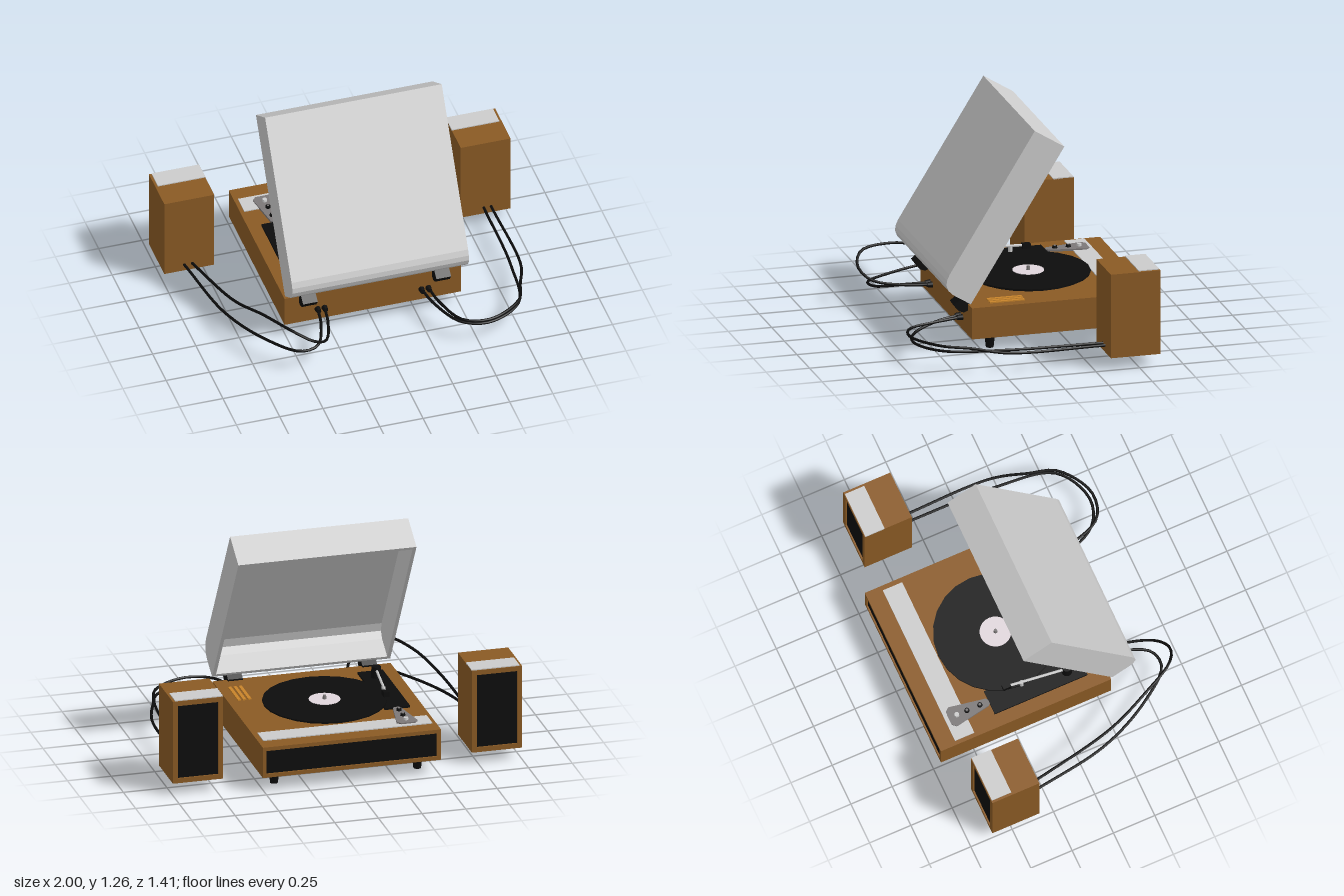
import * as THREE from 'three';

const mat = (color, extra = {}) => new THREE.MeshStandardMaterial({ color, ...extra });
const grey = mat(0xcccccc);
const wood = mat(0x8a5a24);
const black = mat(0x0c0c0c);
const steel = mat(0x7c7878);
const brass = mat(0xc8842a);
const paper = mat(0xe0d6dc);

function add(parent, name, geometry, material, x = 0, y = 0, z = 0) {
  const mesh = new THREE.Mesh(geometry, material);
  mesh.name = name;
  mesh.position.set(x, y, z);
  parent.add(mesh);
  return mesh;
}
const box = (w, h, d) => new THREE.BoxGeometry(w, h, d);
const cyl = (top, bottom, h, n = 16) => new THREE.CylinderGeometry(top, bottom, h, n);
const poly = (pts) => new THREE.Shape(pts.map(([x, y]) => new THREE.Vector2(x, y)));

// Extrudes a (z, y) side profile across the width, centred on x = 0
function sideExtrude(pts, width) {
  const g = new THREE.ExtrudeGeometry(poly(pts), { depth: width, bevelEnabled: false });
  return g.translate(0, 0, -width / 2).rotateY(-Math.PI / 2);
}

// Wooden box whose -z side is a frame around a recessed black grille
function cabinet(name, w, h, d, border) {
  const g = new THREE.Group();
  g.name = name;
  const recess = 0.018;
  add(g, 'woodBody', box(w, h, d - recess), wood, 0, 0, recess / 2);
  const rect = (a, b) => [[-a, -b], [a, -b], [a, b], [-a, b]];
  const frame = poly(rect(w / 2, h / 2));
  frame.holes.push(poly(rect(w / 2 - border, h / 2 - border)));
  add(g, 'grilleFrame', new THREE.ExtrudeGeometry(frame, { depth: recess, bevelEnabled: false }), wood, 0, 0, -d / 2);
  add(g, 'grille', box(w - 2 * border, h - 2 * border, 0.01), black, 0, 0, -d / 2 + recess - 0.004);
  return g;
}

function makeLid() {
  const g = new THREE.Group();
  g.name = 'lid';
  // Local u runs along the open rim from the hinge, v is the depth of the lid
  const toWorld = ([u, v]) => [0.327 - 0.5265 * u + 0.85 * v, 0.289 + 0.85 * u + 0.5265 * v];
  const outer = [[0, 0], [0, 0.124], [0.008, 0.155], [0.028, 0.182], [0.055, 0.195], [0.09, 0.2], [1.02, 0.2], [1.02, 0]];
  const inner = [[1.0, 0], [1.0, 0.18], [0.09, 0.18], [0.04, 0.165], [0.02, 0.124], [0.02, 0]];
  add(g, 'lidShell', sideExtrude([...outer, ...inner].map(toWorld), 0.98), grey);
  for (const s of [-1, 1]) add(g, 'lidSide', sideExtrude(outer.map(toWorld), 0.02), grey, s * 0.5);
  return g;
}

function makeTonearm() {
  const g = new THREE.Group();
  g.name = 'tonearm';
  add(g, 'armPlate', box(0.145, 0.012, 0.56), black, -0.362, 0.27, -0.07);
  add(g, 'armPivot', cyl(0.026, 0.03, 0.065), black, -0.37, 0.307, 0.115);
  const rod = new THREE.LineCurve3(new THREE.Vector3(-0.37, 0.318, 0.11), new THREE.Vector3(-0.33, 0.318, -0.22));
  add(g, 'armRod', new THREE.TubeGeometry(rod, 1, 0.008, 8), grey);
  add(g, 'armRest', cyl(0.012, 0.012, 0.045), grey, -0.339, 0.295, -0.145);
  add(g, 'headshell', box(0.032, 0.028, 0.046), black, -0.327, 0.316, -0.232);
  return g;
}

function makeDeck() {
  const g = new THREE.Group();
  g.name = 'deck';
  const base = cabinet('base', 1.02, 0.18, 1.03, 0.022);
  base.position.set(0, 0.175, -0.195);
  g.add(base);
  for (const x of [-0.41, 0.41]) {
    for (const z of [0.19, -0.58]) add(g, 'foot', cyl(0.032, 0.022, 0.087, 12), black, x, 0.0435, z);
    // Hinge block joining lid and base
    const hinge = [[0.345, 0.308], [0.297, 0.274], [0.297, 0.236], [0.342, 0.217], [0.372, 0.228], [0.4, 0.266]];
    add(g, 'hinge', sideExtrude(hinge, 0.085), black, Math.sign(x) * 0.385);
  }
  add(g, 'trimStrip', box(0.968, 0.01, 0.117), grey, -0.003, 0.266, -0.556);

  // Turntable and record
  add(g, 'platter', cyl(0.32, 0.32, 0.012, 24), black, 0, 0.271, -0.15);
  add(g, 'record', cyl(0.345, 0.345, 0.008, 24), black, 0, 0.281, -0.15);
  add(g, 'recordLabel', cyl(0.088, 0.088, 0.004, 24), paper, 0, 0.286, -0.15);
  add(g, 'spindle', cyl(0.009, 0.012, 0.026, 12), steel, 0, 0.296, -0.15);

  // Tapered control plate with three knobs
  const plate = poly([[-0.06, 0.57], [-0.04, 0.592], [0.04, 0.592], [0.06, 0.57], [0.022, 0.36], [0.012, 0.35], [-0.012, 0.35], [-0.022, 0.36]]);
  const plateGeo = new THREE.ExtrudeGeometry(plate, { depth: 0.012, bevelEnabled: false }).rotateX(-Math.PI / 2);
  add(g, 'controlPlate', plateGeo, steel, -0.355, 0.266, 0);
  [-0.545, -0.483, -0.405].forEach((z, i) => {
    add(g, 'knob', cyl(0.013, 0.015, 0.014, 12), i ? black : grey, -0.355, 0.284, z);
    if (i) add(g, 'knobCap', cyl(0.007, 0.007, 0.004, 12), steel, -0.355, 0.292, z);
  });

  // Brass slats beside the platter
  for (const x of [0.385, 0.415, 0.445]) add(g, 'brassSlat', box(0.018, 0.008, 0.2), brass, x, 0.268, 0.1);
  g.add(makeTonearm());
  return g;
}

function makeSpeaker(side) {
  const g = cabinet(side > 0 ? 'leftSpeaker' : 'rightSpeaker', 0.288, 0.485, 0.285, 0.028);
  add(g, 'speakerTrim', box(0.274, 0.01, 0.117), grey, -side * 0.007, 0.243, -0.08);
  g.position.set(side * 0.856, 0.3125, -0.4775);
  return g;
}

export function createModel() {
  const model = new THREE.Group();
  model.name = 'recordPlayer';
  model.add(makeDeck(), makeLid(), makeSpeaker(1), makeSpeaker(-1));

  // Speaker cables, from speaker to deck socket
  const cables = [
    [[0.845, 0.11, -0.335], [0.83, 0.115, 0.22], [0.765, 0.12, 0.56], [0.56, 0.115, 0.67], [0.41, 0.12, 0.62], [0.31, 0.145, 0.45], [0.28, 0.155, 0.32]],
    [[0.887, 0.11, -0.335], [0.885, 0.115, 0.22], [0.82, 0.14, 0.42], [0.765, 0.15, 0.57], [0.57, 0.152, 0.69], [0.42, 0.15, 0.65], [0.34, 0.15, 0.45], [0.32, 0.155, 0.32]],
    [[-0.84, 0.11, -0.335], [-0.76, 0.22, 0.2], [-0.67, 0.285, 0.45], [-0.56, 0.29, 0.65], [-0.46, 0.235, 0.695], [-0.37, 0.18, 0.64], [-0.3, 0.157, 0.45], [-0.28, 0.155, 0.32]],
    [[-0.885, 0.11, -0.335], [-0.8, 0.11, 0.15], [-0.66, 0.115, 0.45], [-0.51, 0.125, 0.625], [-0.41, 0.13, 0.61], [-0.34, 0.15, 0.45], [-0.32, 0.155, 0.32]],
  ];
  for (const pts of cables) {
    const path = new THREE.CatmullRomCurve3(pts.map((p) => new THREE.Vector3(...p)));
    add(model, 'cable', new THREE.TubeGeometry(path, 40, 0.008, 8), black);
    const [x, y] = pts[pts.length - 1];
    add(model, 'plug', cyl(0.013, 0.018, 0.035, 12).rotateX(Math.PI / 2), black, x, y, 0.333);
  }
  return model;
}
